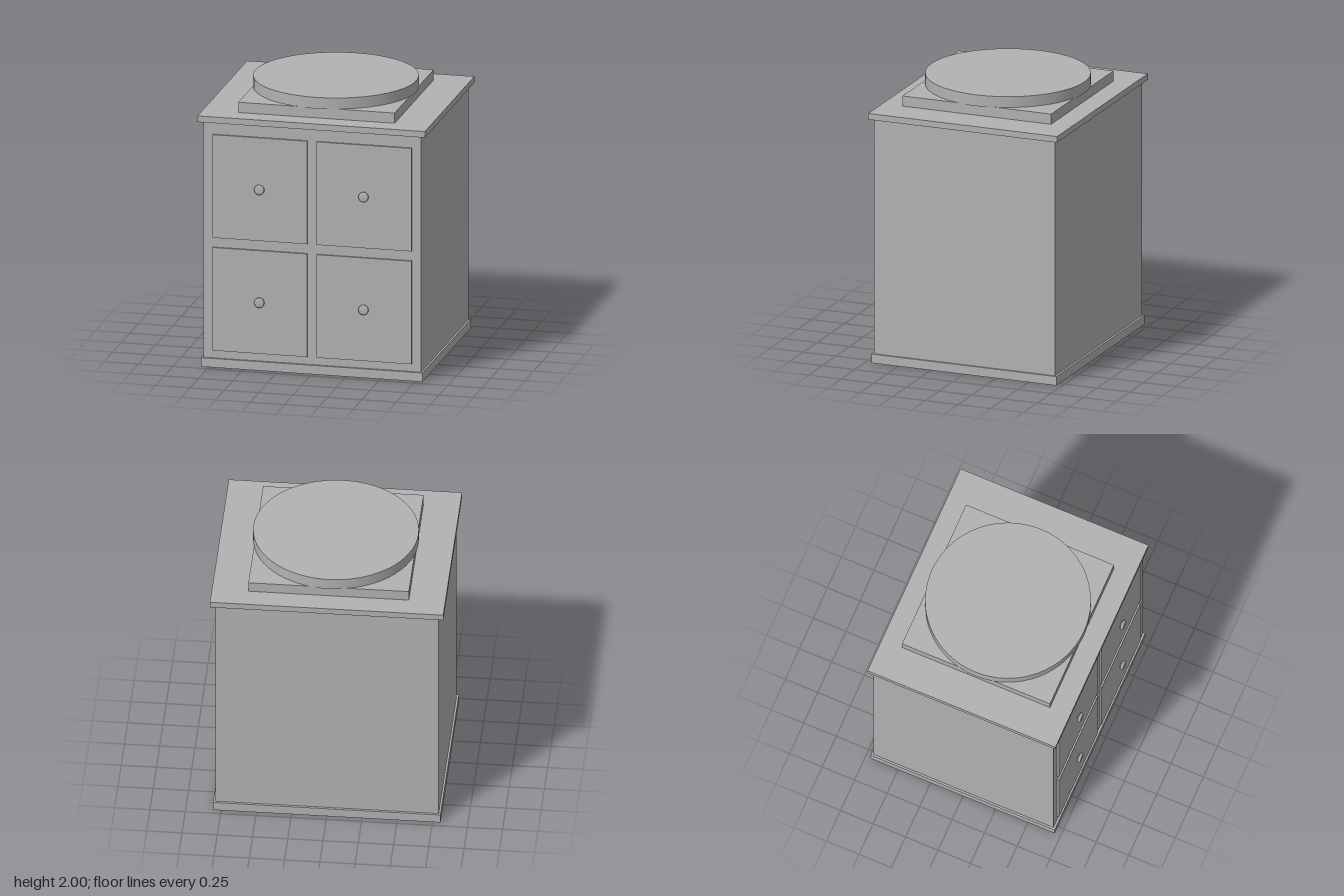
import * as THREE from 'three';

export function createModel() {
  const group = new THREE.Group();
  const grey = new THREE.MeshStandardMaterial({ color: 0xb2b2b2 });
  grey.name = 'plain grey';
  const zc = -0.003; // the knobs reach slightly forward, so the cabinet sits back

  const add = (name, geometry, x, y, z) => {
    const mesh = new THREE.Mesh(geometry, grey);
    mesh.name = name;
    mesh.position.set(x, y, z);
    group.add(mesh);
    return mesh;
  };
  // Box given by width, depth and its bottom and top heights
  const slab = (name, w, d, y0, y1) =>
    add(name, new THREE.BoxGeometry(w, y1 - y0, d), 0, (y0 + y1) / 2, zc);

  // Cabinet
  slab('basePlinth', 1.612, 1.416, 0, 0.066);
  slab('cabinetBody', 1.584, 1.384, 0.066, 1.8);
  slab('topBoard', 1.654, 1.446, 1.8, 1.845);

  // Square riser and round plate on top
  slab('topRiser', 1.138, 1.138, 1.845, 1.92);
  add('roundPlate', new THREE.CylinderGeometry(0.585, 0.585, 0.083, 64), 0, 1.9585, zc);

  // Four drawer fronts with round knobs
  const knobProfile = [[0, 0], [0.022, 0], [0.022, 0.006], [0.036, 0.008],
    [0.036, 0.021], [0.028, 0.027], [0, 0.027]].map(([r, h]) => new THREE.Vector2(r, h));
  const knobGeometry = new THREE.LatheGeometry(knobProfile, 24);
  const drawerGeometry = new THREE.BoxGeometry(0.69, 0.757, 0.03);
  for (const y of [0.502, 1.331]) {
    for (const x of [-0.379, 0.379]) {
      add('drawerFront', drawerGeometry, x, y, 0.688);
      add('drawerKnob', knobGeometry, x, y, 0.702).rotation.x = Math.PI / 2;
    }
  }
  return group;
}
